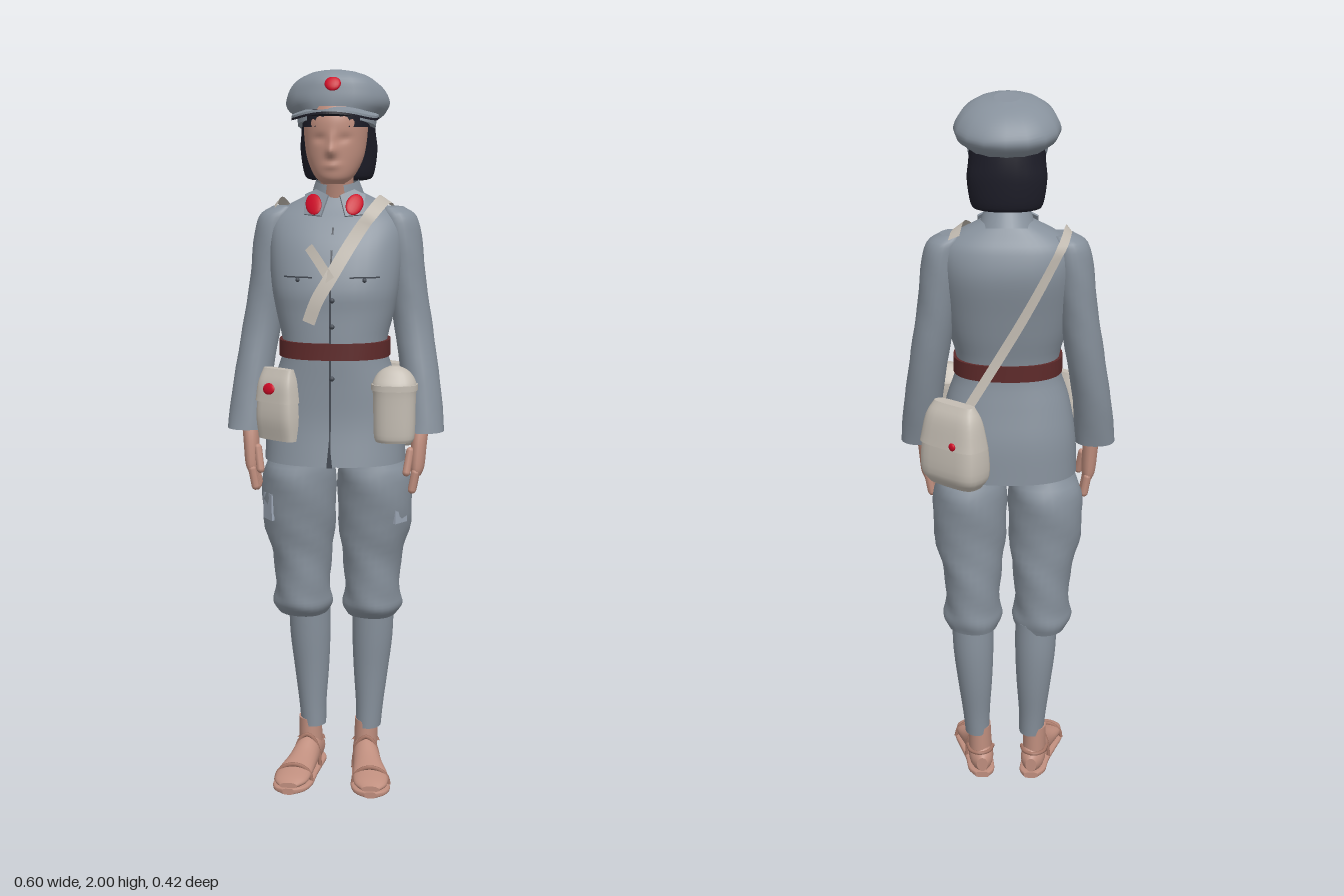
import * as THREE from 'three';

const mat = (name, color, side = THREE.FrontSide) => {
  const m = new THREE.MeshStandardMaterial({ color, side });
  m.name = name;
  return m;
};

// Torso rings: [x, y, z, radiusX, radiusZ], and how boxy they are
const TORSO = [
  [0, 0.94, 0.04, 0.195, 0.153], [0, 1.05, 0.034, 0.19, 0.141], [0, 1.15, 0.042, 0.172, 0.131],
  [0, 1.25, 0.05, 0.142, 0.125], [0, 1.35, 0.038, 0.162, 0.132], [0, 1.42, 0.03, 0.175, 0.138],
  [0, 1.52, 0.004, 0.185, 0.131], [0, 1.59, -0.012, 0.182, 0.104], [0, 1.63, -0.018, 0.142, 0.078],
  [0, 1.67, -0.02, 0.065, 0.055],
];
const BOXY = 2.4;

// Smooth body through elliptical rings stacked in y; p > 2 squares the section
function loft(rings, { segs = 24, p = 2, sub = 4, ripple = 0 } = {}) {
  const r = [...rings].sort((a, b) => a[1] - b[1]);
  const mid = new THREE.CatmullRomCurve3(r.map((k) => new THREE.Vector3(k[0], k[1], k[2])), false, 'catmullrom');
  const rad = new THREE.CatmullRomCurve3(r.map((k) => new THREE.Vector3(k[3], 0, k[4])), false, 'catmullrom');
  const rows = (r.length - 1) * sub, pos = [], idx = [];
  const pw = (v) => Math.sign(v) * Math.abs(v) ** (2 / p);
  for (let j = 0; j <= rows; j++) {
    const c = mid.getPoint(j / rows), d = rad.getPoint(j / rows);
    for (let i = 0; i < segs; i++) {
      const a = (i / segs) * Math.PI * 2;
      const k = 1 + ripple * Math.sin(3 * a + c.y * 38) * Math.sin(c.y * 17 + a);
      pos.push(c.x + pw(Math.sin(a)) * d.x * k, c.y, c.z + pw(Math.cos(a)) * d.z * k);
    }
  }
  for (let j = 0; j < rows; j++) for (let i = 0; i < segs; i++) {
    const a = j * segs + i, b = j * segs + ((i + 1) % segs);
    idx.push(a, b, b + segs, a, b + segs, a + segs);
  }
  // End caps with their own vertices for a crisp edge
  for (const [row, top] of [[0, false], [rows, true]]) {
    const base = pos.length / 3, c = mid.getPoint(row / rows);
    for (let i = 0; i < segs * 3; i++) pos.push(pos[row * segs * 3 + i]);
    pos.push(c.x, c.y, c.z);
    for (let i = 0; i < segs; i++) {
      const a = base + i, b = base + ((i + 1) % segs);
      idx.push(base + segs, top ? a : b, top ? b : a);
    }
  }
  const g = new THREE.BufferGeometry();
  g.setAttribute('position', new THREE.Float32BufferAttribute(pos, 3));
  g.setIndex(idx);
  g.computeVertexNormals();
  return g;
}

// Point on the jacket, front (1) or back (-1), lifted by off
function onTorso(x, y, face = 1, off = 0.01) {
  let i = 0;
  while (i < TORSO.length - 2 && TORSO[i + 1][1] < y) i++;
  const A = TORSO[i], B = TORSO[i + 1], t = THREE.MathUtils.clamp((y - A[1]) / (B[1] - A[1]), 0, 1);
  const [cz, rx, rz] = [2, 3, 4].map((k) => A[k] + (B[k] - A[k]) * t);
  const s = Math.max(0, 1 - Math.abs(x / rx) ** BOXY) ** (1 / BOXY);
  return new THREE.Vector3(x, y, cz + face * (rz * s + off));
}

// Move every vertex by a rule, then refresh the normals
function reshape(geo, rule) {
  const p = geo.attributes.position, v = new THREE.Vector3();
  for (let i = 0; i < p.count; i++) {
    rule(v.fromBufferAttribute(p, i));
    p.setXYZ(i, v.x, v.y, v.z);
  }
  geo.computeVertexNormals();
  return geo;
}

// Flat strip along points, facing away from the body axis
function ribbon(points, width) {
  const curve = new THREE.CatmullRomCurve3(points), n = 28, pos = [], idx = [];
  for (let i = 0; i <= n; i++) {
    const p = curve.getPoint(i / n), out = new THREE.Vector3(p.x * 0.5, p.y > 1.6 ? 0.08 : 0, p.z - 0.01);
    const side = curve.getTangent(i / n).cross(out).normalize().multiplyScalar(width / 2);
    pos.push(...p.clone().add(side).toArray(), ...p.clone().sub(side).toArray());
    if (i < n) idx.push(2 * i, 2 * i + 2, 2 * i + 1, 2 * i + 1, 2 * i + 2, 2 * i + 3);
  }
  const g = new THREE.BufferGeometry();
  g.setAttribute('position', new THREE.Float32BufferAttribute(pos, 3));
  g.setIndex(idx);
  g.computeVertexNormals();
  return g;
}

export function createModel() {
  const root = new THREE.Group();
  const cloth = mat('greyBlueCloth', 0x87919c, THREE.DoubleSide), seam = mat('darkSeam', 0x444a53, THREE.DoubleSide);
  const skin = mat('skin', 0xbf8e7e), hair = mat('blackHair', 0x1d1d28), red = mat('red', 0xcc0a26);
  const leather = mat('beltLeather', 0x5e2a2a), canvas = mat('canvas', 0xc4bdb3, THREE.DoubleSide);
  const sandal = mat('sandalBrown', 0xa87868), patch = mat('paleCloth', 0x9da7b6);
  const add = (name, geo, m, parent = root) => {
    const mesh = new THREE.Mesh(geo, m);
    mesh.name = name;
    parent.add(mesh);
    return mesh;
  };
  const group = (name, x = 0, y = 0, z = 0) => {
    const g = new THREE.Group();
    g.name = name;
    g.position.set(x, y, z);
    root.add(g);
    return g;
  };
  const dot = (x, y = x, z = x) => new THREE.SphereGeometry(1, 16, 10).scale(x, y, z);

  // Jacket, belt and front closure
  add('jacket', loft(TORSO, { segs: 40, p: BOXY }), cloth);
  add('belt', loft([[0, 1.23, 0.05, 0.152, 0.134], [0, 1.275, 0.049, 0.152, 0.134]], { segs: 40, sub: 1, p: BOXY }), leather);
  add('frontSeam', ribbon([1.58, 1.5, 1.42, 1.3, 1.25, 1.15, 1.05, 0.942].map((y) => onTorso(0, y, 1, 0.003)), 0.005), seam);
  for (const y of [1.39, 1.32, 1.18]) add('button', dot(0.007), seam).position.copy(onTorso(0.005, y, 1, 0.002));
  const slit = [[-0.008, 0.938], [0.008, 0.938], [0, 1.02]].map((a) => new THREE.Vector2(...a));
  add('hemSlit', new THREE.ShapeGeometry(new THREE.Shape(slit)), seam).position.z = 0.196;

  // Head with nose, brow and eye hollows pushed out of the front
  const bump = (v, x, y, w, h, d) => { v.z += d * Math.exp(-(((v.x - x) / w) ** 2) - ((v.y - y) / h) ** 2); };
  add('head', reshape(loft([[0, 1.695, 0.078, 0.028, 0.035], [0, 1.715, 0.065, 0.053, 0.064], [0, 1.76, 0.045, 0.075, 0.087],
    [0, 1.81, 0.033, 0.084, 0.1], [0, 1.86, 0.028, 0.086, 0.105], [0, 1.9, 0.02, 0.08, 0.1]], { segs: 64, sub: 8 }), (v) => {
    if (v.z < 0.07) return;
    bump(v, 0, 1.782, 0.013, 0.016, 0.02);
    bump(v, 0, 1.81, 0.009, 0.022, 0.009);
    bump(v, 0, 1.744, 0.022, 0.009, 0.006);
    for (const x of [-0.034, 0.034]) bump(v, x, 1.815, 0.016, 0.011, -0.006);
  }), skin);
  add('neck', loft([[0, 1.6, -0.015, 0.05, 0.05], [0, 1.67, 0, 0.045, 0.047], [0, 1.75, 0.015, 0.046, 0.05]]), skin);
  add('hair', loft([[0, 1.7, -0.048, 0.075, 0.042], [0, 1.713, -0.048, 0.095, 0.06], [0, 1.78, -0.045, 0.106, 0.072],
    [0, 1.83, -0.033, 0.102, 0.084], [0, 1.89, -0.02, 0.1, 0.09]]), hair);
  add('fringe', loft([[0, 1.845, 0.025, 0.091, 0.108], [0, 1.89, 0.02, 0.091, 0.108]], { sub: 1 }), hair);

  // Cap, tipped back, with gored crown and curved visor
  const cap = group('cap', 0, 1.88, 0);
  cap.rotation.x = -0.2;
  add('capBand', loft([[0, -0.035, 0, 0.106, 0.114], [0, 0.02, 0, 0.112, 0.118]], { sub: 1 }), cloth, cap);
  add('capCrown', loft([[0, -0.012, 0, 0.11, 0.116], [0, 0.012, -0.008, 0.136, 0.128], [0, 0.038, -0.01, 0.141, 0.131],
    [0, 0.07, 0.002, 0.122, 0.117], [0, 0.094, 0.012, 0.085, 0.088], [0, 0.107, 0.015, 0.035, 0.04]], { segs: 16, p: 2.1 }), cloth, cap);
  const badge = add('capBadge', dot(0.022, 0.022, 0.008), red, cap);
  badge.position.set(0, 0.056, 0.118);
  badge.rotation.x = -0.35;
  const brim = new THREE.Shape();
  brim.absellipse(0, 0.04, 0.117, 0.152, 0, Math.PI, false);
  brim.absellipse(0, 0.04, 0.1, 0.06, Math.PI, 0, true);
  const visor = (drop) => reshape(
    new THREE.ExtrudeGeometry(brim, { depth: 0.006, bevelEnabled: false, curveSegments: 24 }).rotateX(Math.PI / 2),
    (v) => { v.y += 0.036 - 2.5 * v.x ** 2 - 0.33 * v.z - drop; });
  add('visor', visor(0), cloth, cap);
  add('visorLining', visor(0.006), hair, cap);

  // Standing collar, open at the front
  const collar = add('collar', new THREE.CylinderGeometry(0.058, 0.08, 0.065, 28, 1, true, 0.4, Math.PI * 2 - 0.8), cloth);
  collar.position.set(0, 1.672, -0.012);
  collar.rotation.x = 0.25;

  for (const s of [1, -1]) {
    const m = (rings) => rings.map(([x, ...rest]) => [x * s, ...rest]);

    // Collar wing with red tab
    const wing = group('collarWing', 0.05 * s, 1.638, 0.07);
    wing.rotation.set(-0.55, 0.35 * s, 0);
    const pts = [[-0.038, 0.02], [-0.02, -0.04], [0.032, -0.025], [0.032, 0.035], [0, 0.045]];
    const shape = new THREE.Shape(pts.map(([x, y]) => new THREE.Vector2(x * s, y)));
    add('wingCloth', new THREE.ExtrudeGeometry(shape, { depth: 0.006, bevelEnabled: false }), cloth, wing);
    const tab = add('collarTab', dot(0.023, 0.034, 0.006), red, wing);
    tab.position.set(0.003 * s, -0.002, 0.008);
    tab.rotation.z = -0.35 * s;

    // Chest pocket edge and button
    add('pocketEdge', ribbon([0.05, 0.08, 0.11, 0.13].map((x) => onTorso(x * s, 1.45, 1, 0.003)), 0.004), seam);
    add('pocketButton', dot(0.006), seam).position.copy(onTorso(0.09 * s, 1.443, 1, 0.003));

    // Sleeve
    add('sleeve', loft(m([[0.145, 1.63, -0.018, 0.035, 0.045], [0.168, 1.602, -0.018, 0.05, 0.066], [0.18, 1.53, -0.017, 0.055, 0.07],
      [0.193, 1.42, -0.015, 0.053, 0.067], [0.212, 1.3, -0.008, 0.053, 0.063], [0.235, 1.15, 0.018, 0.054, 0.061],
      [0.246, 1.02, 0.045, 0.056, 0.057]]), { ripple: 0.025 }), cloth);

    // Hand with fingers and thumb
    add('palm', loft(m([[0.238, 1.04, 0.052, 0.024, 0.027], [0.234, 0.99, 0.06, 0.022, 0.034], [0.23, 0.925, 0.066, 0.02, 0.038],
      [0.228, 0.9, 0.067, 0.013, 0.034]]), { segs: 16 }), skin);
    for (let i = 0; i < 4; i++) {
      const finger = add('finger', new THREE.CapsuleGeometry(0.0115, 0.06 - 0.008 * Math.abs(i - 1.5), 4, 8), skin);
      finger.position.set(0.222 * s, 0.886, 0.038 + i * 0.019);
      finger.rotation.z = -0.18 * s;
    }
    const thumb = add('thumb', new THREE.CapsuleGeometry(0.011, 0.06, 4, 8), skin);
    thumb.position.set(0.207 * s, 0.94, 0.092);
    thumb.rotation.set(-0.25, 0, -0.15 * s);

    // Trouser leg, gathered below the knee
    add('trouserLeg', loft(m([[0.08, 1.05, 0.02, 0.075, 0.08], [0.094, 0.95, 0.012, 0.09, 0.098], [0.106, 0.88, 0.006, 0.106, 0.117],
      [0.107, 0.75, 0, 0.1, 0.109], [0.1, 0.65, -0.01, 0.085, 0.101], [0.1, 0.55, -0.012, 0.079, 0.1],
      [0.1, 0.505, -0.015, 0.084, 0.1], [0.098, 0.475, -0.025, 0.07, 0.083]]), { segs: 28, ripple: 0.045 }), cloth);
    const pocket = add('sidePocket', new THREE.BoxGeometry(0.05, 0.075, 0.009), patch);
    pocket.position.set(0.184 * s, 0.8, 0.072);
    pocket.rotation.y = 0.95 * s;

    // Wrapped shin
    add('legWrap', loft(m([[0.092, 0.5, -0.036, 0.06, 0.066], [0.09, 0.4, -0.04, 0.058, 0.065], [0.086, 0.3, -0.04, 0.05, 0.058],
      [0.083, 0.2, -0.035, 0.04, 0.049], [0.08, 0.13, -0.032, 0.036, 0.045]]).map((r) => [r[0] + 0.008, ...r.slice(1)])), cloth);

    // Foot, lofted heel to toe, with sandal
    add('ankle', loft(m([[0.08, 0.04, -0.03, 0.034, 0.045], [0.082, 0.15, -0.032, 0.033, 0.042]])), skin);
    add('foot', loft(m([[0.072, -0.088, -0.04, 0.016, 0.022], [0.076, -0.06, -0.05, 0.034, 0.042], [0.083, 0, -0.055, 0.036, 0.05],
      [0.095, 0.06, -0.042, 0.042, 0.036], [0.108, 0.12, -0.034, 0.05, 0.024], [0.113, 0.17, -0.028, 0.046, 0.017],
      [0.116, 0.2, -0.024, 0.025, 0.009]])).rotateX(Math.PI / 2), skin);
    add('sole', loft(m([[0.072, -0.093, -0.009, 0.02, 0.009], [0.076, -0.06, -0.009, 0.038, 0.009], [0.084, 0, -0.009, 0.041, 0.009],
      [0.098, 0.07, -0.009, 0.048, 0.009], [0.11, 0.14, -0.009, 0.056, 0.009], [0.114, 0.185, -0.009, 0.044, 0.009],
      [0.116, 0.207, -0.009, 0.016, 0.009]]), { p: 3.5 }).rotateX(Math.PI / 2), skin);
    for (const [x, z, rx, top] of [[0.11, 0.13, 0.052, 0.06], [0.086, 0.015, 0.038, 0.107]]) {
      const arc = [0, 1, 2, 3, 4, 5, 6].map((i) => {
        const a = (i / 6) * Math.PI;
        return new THREE.Vector3(s * x + Math.cos(a) * rx, 0.012 + Math.sin(a) * (top - 0.012), z);
      });
      add('sandalStrap', new THREE.TubeGeometry(new THREE.CatmullRomCurve3(arc), 20, 0.006, 6), sandal);
    }
    const heel = [-1, -0.5, 0, 0.5, 1].map((k) => new THREE.Vector3(0.08 * s + 0.037 * Math.sin(k * 1.57), 0.075, -0.03 - 0.052 * Math.cos(k * 1.57)));
    add('heelStrap', new THREE.TubeGeometry(new THREE.CatmullRomCurve3(heel), 16, 0.006, 6), sandal);
  }

  // Shoulder straps
  const V = (x, y, z) => new THREE.Vector3(x, y, z);
  add('frontStrap', ribbon([V(0.14, 1.63, -0.085), V(0.132, 1.65, -0.03), V(0.118, 1.637, 0.04), onTorso(0.08, 1.585, 1, 0.014),
    onTorso(0.04, 1.52), onTorso(0, 1.45), onTorso(-0.035, 1.39), onTorso(-0.058, 1.33)], 0.036), canvas);
  add('strapBranch', ribbon([[-0.062, 1.53], [-0.035, 1.495], [0, 1.445]].map(([x, y]) => onTorso(x, y, 1, 0.012)), 0.026), canvas);
  add('backStrap', ribbon([V(-0.17, 1.625, 0.025), V(-0.165, 1.645, -0.03), V(-0.15, 1.617, -0.1), onTorso(-0.105, 1.53, -1, 0.012),
    V(-0.045, 1.42, -0.13), V(0.02, 1.31, -0.132), V(0.1, 1.18, -0.14)], 0.026), canvas);

  // Satchel on the back of the left hip
  const satchel = group('satchel', 0.14, 1.065, -0.128);
  satchel.rotation.y = -0.68;
  add('satchelBody', loft([[0, -0.112, 0, 0.08, 0.035], [0, -0.075, 0, 0.1, 0.056], [0, 0.01, 0, 0.098, 0.05],
    [0, 0.08, 0, 0.082, 0.034], [0, 0.11, 0, 0.065, 0.018]], { p: 3.5 }), canvas, satchel);
  add('satchelFlap', loft([[0, 0.005, -0.004, 0.102, 0.053], [0, 0.08, -0.003, 0.088, 0.038], [0, 0.12, 0, 0.068, 0.018]],
    { p: 3.5 }), canvas, satchel);
  add('satchelMark', dot(0.011, 0.011, 0.006), red, satchel).position.set(-0.04, 0.018, -0.056);

  // Pouch on the right hip
  const pouch = group('pouch', -0.145, 1.1, 0.135);
  pouch.rotation.y = -0.6;
  add('pouchBody', loft([[0, -0.095, 0, 0.063, 0.026], [0, -0.03, 0, 0.065, 0.036], [0, 0.05, 0, 0.058, 0.028],
    [0, 0.095, 0, 0.048, 0.014]], { p: 4 }), canvas, pouch);
  add('pouchFlap', loft([[0, 0.01, 0.002, 0.066, 0.036], [0, 0.06, 0.002, 0.06, 0.029], [0, 0.1, 0, 0.05, 0.013]], { p: 4 }), canvas, pouch);
  const mark = add('pouchMark', dot(0.021, 0.016, 0.007), red, pouch);
  mark.position.set(-0.006, 0.047, 0.033);
  mark.rotation.x = -0.25;

  // Covered canteen on the left hip
  const canteen = group('canteen', 0.172, 1.0, 0.15);
  add('canteenBody', loft([[0, 0.008, 0, 0.05, 0.04], [0, 0.03, 0, 0.056, 0.046], [0, 0.13, 0, 0.058, 0.048], [0, 0.16, 0, 0.061, 0.049],
    [0, 0.185, 0, 0.052, 0.036], [0, 0.203, 0, 0.036, 0.024], [0, 0.214, 0, 0.014, 0.012]], { p: 2.3 }), canvas, canteen);
  add('canteenRim', loft([[0, 0.15, 0, 0.063, 0.052], [0, 0.166, 0, 0.063, 0.052]], { sub: 1, p: 2.3 }), canvas, canteen);
  return root;
}
